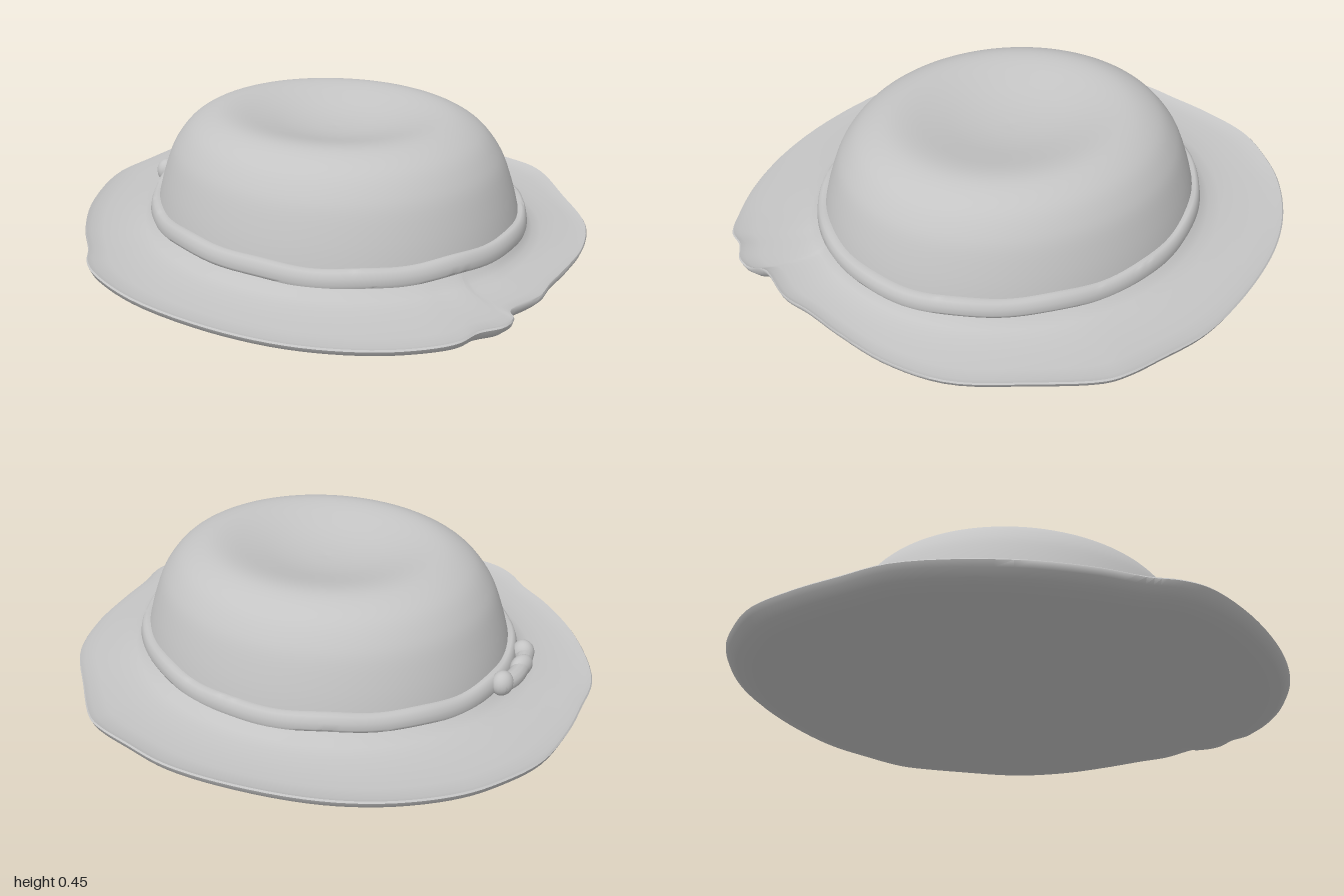
import * as THREE from 'three';
import { toCreasedNormals } from 'three/addons/utils/BufferGeometryUtils.js';

const N = 168;
const CX = 0.015; // crown sits slightly off centre

// Brim edge: x, z, height, walked from the back round the left side
const EDGE = [
  [0, -0.93, 0.06], [0.12, -0.935, 0.06], [0.2, -0.92, 0.055], [0.4, -0.81, 0.045], [0.62, -0.67, 0.04],
  [0.75, -0.5, 0.04], [0.83, -0.32, 0.045], [0.88, -0.18, 0.05], [0.925, -0.08, 0.055], [0.94, 0.07, 0.06],
  [0.98, 0.1, 0.062], [0.995, 0.16, 0.062], [0.97, 0.24, 0.06], [0.97, 0.32, 0.055], [0.91, 0.43, 0.045],
  [0.81, 0.56, 0.042], [0.65, 0.7, 0.042], [0.43, 0.82, 0.045], [0.14, 0.91, 0.05], [-0.07, 0.925, 0.06],
  [-0.17, 0.9, 0.06], [-0.26, 0.85, 0.058], [-0.42, 0.78, 0.06], [-0.64, 0.64, 0.06], [-0.85, 0.42, 0.06],
  [-0.92, 0.24, 0.06], [-0.97, 0.08, 0.062], [-1, -0.11, 0.065], [-0.97, -0.27, 0.062], [-0.92, -0.4, 0.06],
  [-0.8, -0.57, 0.06], [-0.64, -0.71, 0.06], [-0.4, -0.84, 0.06], [-0.18, -0.915, 0.06],
];

// Joins closed rings of N points into one skin
function loft(rings, crease) {
  const pos = rings.flat().flatMap((p) => [p.x, p.y, p.z]);
  const index = [];
  for (let i = 0; i < rings.length - 1; i++) {
    for (let j = 0; j < N; j++) {
      const k = (j + 1) % N;
      const a = i * N + j, b = i * N + k, c = a + N, d = b + N;
      index.push(a, b, d, a, d, c);
    }
  }
  const geo = new THREE.BufferGeometry();
  geo.setAttribute('position', new THREE.Float32BufferAttribute(pos, 3));
  geo.setIndex(index);
  geo.computeVertexNormals();
  return crease ? toCreasedNormals(geo, crease) : geo;
}

// Point on the oval of the head: r is the half width, the depth is a little less
const oval = (angle, r, y) => new THREE.Vector3(CX + r * Math.cos(angle), y, 0.91 * r * Math.sin(angle) - 0.003);

const ring = (fn) => Array.from({ length: N }, (_, j) => fn((j / N) * Math.PI * 2 - Math.PI / 2));

export function createModel() {
  const group = new THREE.Group();
  const felt = new THREE.MeshStandardMaterial({ color: 0xc4c4c4 });
  felt.name = 'grey felt';
  const add = (name, geo) => {
    const mesh = new THREE.Mesh(geo, felt);
    mesh.name = name;
    group.add(mesh);
    return mesh;
  };

  // Brim: from the head outward, round the uneven edge and in under the flat base
  const curve = new THREE.CatmullRomCurve3(EDGE.map(([x, z, y]) => new THREE.Vector3(x, y, z)), true);
  const edge = Array.from({ length: N }, (_, j) => curve.getPoint(j / N));
  const brimRing = (t, y, follow) => edge.map((e) => {
    const p = oval(Math.atan2(e.z, e.x - CX), 0.7, 0).lerp(e, t);
    p.y = y + (e.y - 0.05) * follow;
    return p;
  });
  add('brim', loft([
    brimRing(0, 0.1, 0), brimRing(0.06, 0.082, 0), brimRing(0.14, 0.066, 0), brimRing(0.28, 0.056, 0),
    brimRing(0.5, 0.049, 0.2), brimRing(0.75, 0.046, 0.4), brimRing(0.92, 0.047, 0.8), brimRing(0.985, 0.053, 1),
    brimRing(1, 0.048, 1), brimRing(0.97, 0.03, 0.8), brimRing(0.88, 0.013, 0.3), brimRing(0.72, 0.005, 0),
    brimRing(0.4, 0, 0), edge.map(() => new THREE.Vector3(0, 0, 0)),
  ], 1));

  // Crown: rounded wall with a shallow dent in the top
  const wall = [
    [0.69, 0.08], [0.675, 0.15], [0.655, 0.22], [0.625, 0.3], [0.595, 0.35], [0.555, 0.395],
    [0.51, 0.425], [0.46, 0.444], [0.41, 0.45], [0.35, 0.444], [0.27, 0.427], [0.18, 0.408], [0.09, 0.396], [0.0001, 0.392],
  ];
  const profile = new THREE.SplineCurve(wall.map(([r, y]) => new THREE.Vector2(r, y))).getPoints(40).reverse();
  add('crown', loft(profile.map((p) => ring((a) => oval(a, Math.max(p.x, 0.0001), p.y)))));

  // Hat band: a slightly wavy strip with a ledge on top
  const wave = (a) => 0.004 * Math.sin(5 * a + 1) + 0.003 * Math.sin(13 * a);
  const bandRing = (r, y, w) => ring((a) => oval(a, r + 0.3 * wave(a + 2), y + w * wave(a)));
  add('band', loft([
    bandRing(0.665, 0.146, 1), bandRing(0.69, 0.15, 1), bandRing(0.7, 0.145, 1), bandRing(0.708, 0.125, 0.7),
    bandRing(0.712, 0.105, 0.7), bandRing(0.708, 0.094, 1), bandRing(0.69, 0.088, 1),
  ], 0.9));

  // Knot: a tied end lying along the right side of the band
  const knot = new THREE.Group();
  knot.name = 'knot';
  group.add(knot);
  const path = new THREE.CatmullRomCurve3([
    [-0.7, 0.12, 0.08], [-0.7, 0.118, 0.16], [-0.675, 0.115, 0.24], [-0.635, 0.112, 0.32],
  ].map((p) => new THREE.Vector3(...p)));
  knot.add(new THREE.Mesh(new THREE.TubeGeometry(path, 20, 0.03, 12), felt));
  const lumps = [
    [-0.697, 0.122, 0.1, 0.036, 0.043, 0.042],
    [-0.675, 0.12, 0.24, 0.032, 0.038, 0.05],
    [-0.622, 0.115, 0.325, 0.04, 0.046, 0.04],
  ];
  for (const [x, y, z, sx, sy, sz] of lumps) {
    const lump = new THREE.Mesh(new THREE.SphereGeometry(1, 20, 14), felt);
    lump.position.set(x, y, z);
    lump.scale.set(sx, sy, sz);
    knot.add(lump);
  }
  knot.children.forEach((m, i) => { m.name = i ? 'knotLump' : 'knotTail'; });
  return group;
}
